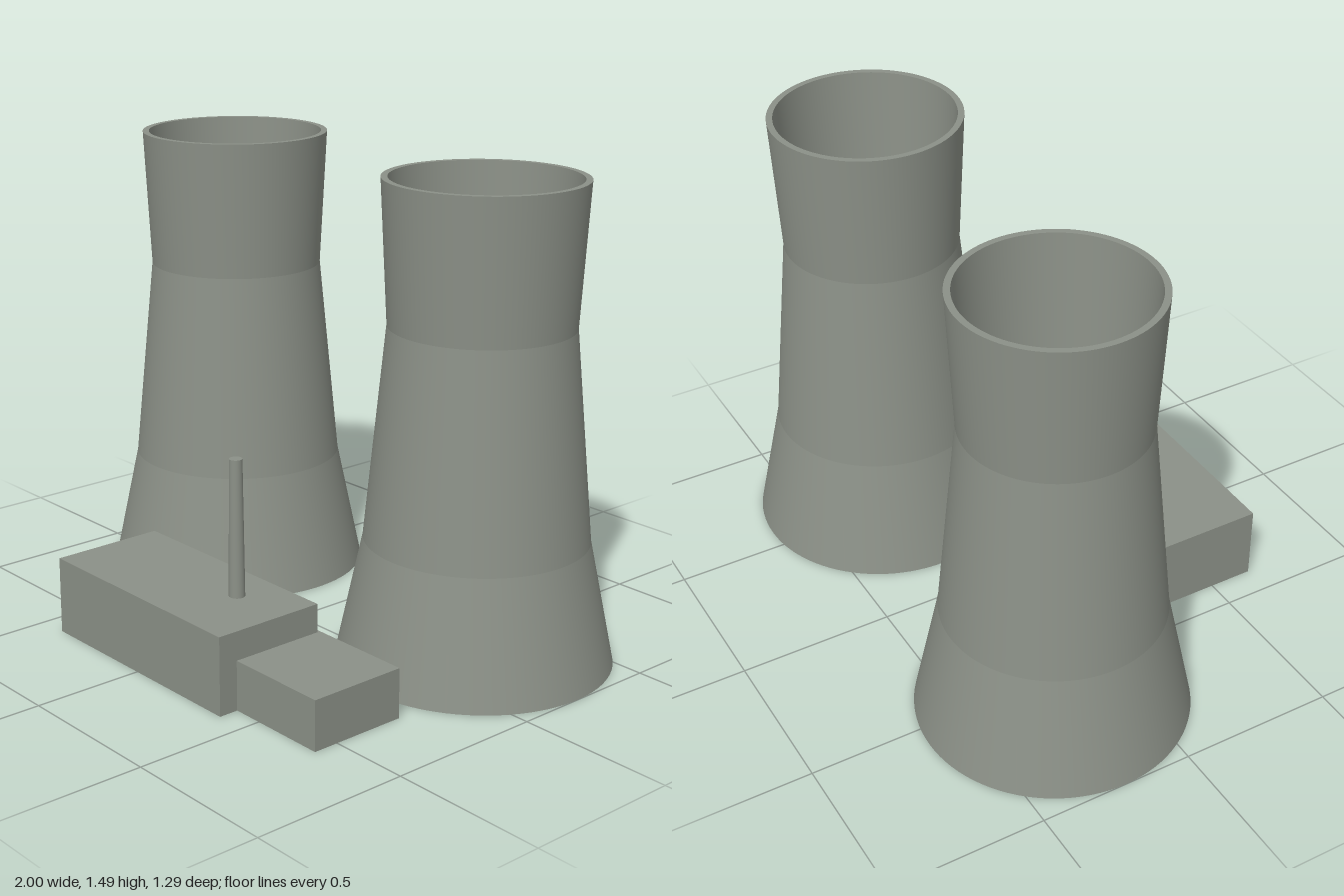
import * as THREE from 'three';
import { toCreasedNormals } from 'three/addons/utils/BufferGeometryUtils.js';

export function createModel() {
  const model = new THREE.Group();
  model.name = 'powerStation';
  const concrete = new THREE.MeshStandardMaterial({ name: 'concreteGrey', color: 0x8b9087 });

  function add(name, geometry, x, y, z) {
    const mesh = new THREE.Mesh(geometry, concrete);
    mesh.name = name;
    mesh.position.set(x, y, z);
    model.add(mesh);
  }

  // Cooling towers: open shells, outer wall going up and inner wall coming down
  const wall = 0.02;
  const outer = [[0.427, 0], [0.345, 0.39], [0.281, 1.05], [0.304, 1.49]];
  const inner = outer.map(([r, y]) => [r - wall, y]).reverse();
  const profile = [...outer, ...inner, outer[0]].map(([r, y]) => new THREE.Vector2(r, y));
  // Fine segments stay smooth around, while the bands keep crisp joints
  const towerGeometry = toCreasedNormals(new THREE.LatheGeometry(profile, 96), 0.08);
  for (const side of [-1, 1]) {
    add(side > 0 ? 'leftCoolingTower' : 'rightCoolingTower', towerGeometry, side * 0.573, 0, -0.218);
  }

  // Main hall and lower annex
  add('mainHall', new THREE.BoxGeometry(0.805, 0.248, 0.372), 0, 0.124, 0.459);
  add('annex', new THREE.BoxGeometry(0.355, 0.157, 0.32), 0.567, 0.0785, 0.422);

  // Slim tapered chimney standing on the hall roof
  add('chimney', new THREE.CylinderGeometry(0.02, 0.025, 0.435, 32), 0.197, 0.4625, 0.413);

  return model;
}
